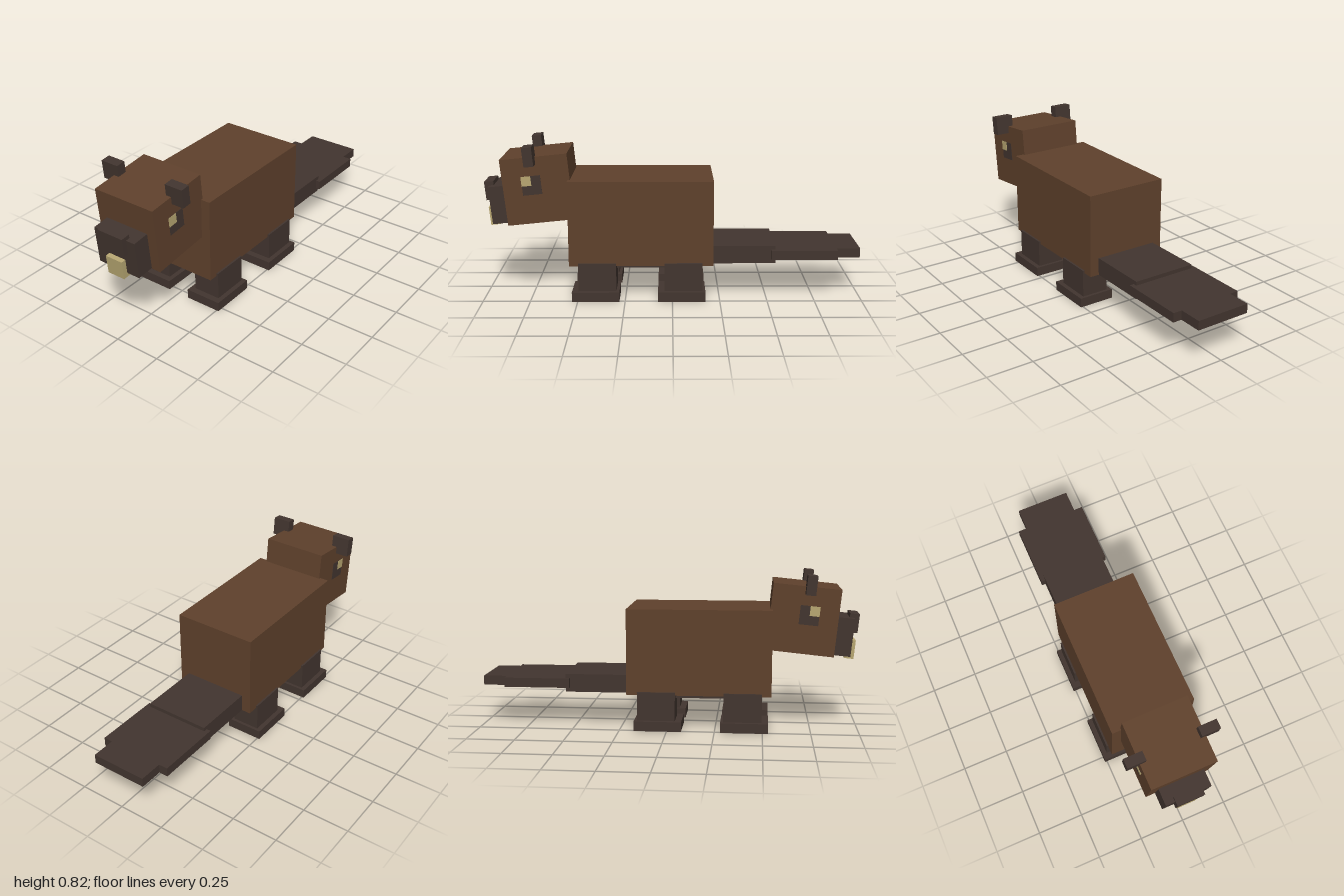
import * as THREE from 'three';

const material = (name, color) => {
  const m = new THREE.MeshStandardMaterial({ color });
  m.name = name;
  return m;
};

export function createModel() {
  const brown = material('brown fur', 0x5f412c);
  const dark = material('dark brown', 0x42352f);
  const cream = material('cream', 0xb8a772);

  const model = new THREE.Group();
  model.name = 'beaver';

  // Box given by its extents along each axis
  const box = (parent, name, mat, [x0, x1], [y0, y1], [z0, z1]) => {
    const mesh = new THREE.Mesh(new THREE.BoxGeometry(x1 - x0, y1 - y0, z1 - z0), mat);
    mesh.position.set((x0 + x1) / 2, (y0 + y1) / 2, (z0 + z1) / 2);
    mesh.name = name;
    parent.add(mesh);
    return mesh;
  };
  // Extents mirrored to the given side
  const side = (s, a, b) => (s > 0 ? [a, b] : [-b, -a]);

  // Body and belly
  box(model, 'body', brown, [-0.227, 0.227], [0.186, 0.639], [-0.215, 0.545]);
  box(model, 'belly', dark, [-0.177, 0.177], [0.164, 0.2], [-0.11, 0.445]);

  // Flat tail in three steps
  box(model, 'tailBase', dark, [-0.176, 0.176], [0.186, 0.282], [-0.547, -0.215]);
  box(model, 'tailPaddle', dark, [-0.2, 0.2], [0.211, 0.261], [-0.875, -0.525]);
  box(model, 'tailTip', dark, [-0.151, 0.151], [0.211, 0.261], [-1, -0.875]);

  // Legs with wider feet
  for (const s of [1, -1]) {
    for (const [label, z] of [['front', 0.396], ['back', -0.058]]) {
      const leg = new THREE.Group();
      leg.name = label + (s > 0 ? 'LeftLeg' : 'RightLeg');
      box(leg, 'shin', dark, side(s, 0.087, 0.237), [0.05, 0.202], [z - 0.1, z + 0.1]);
      box(leg, 'foot', dark, side(s, 0.062, 0.262), [0, 0.051], [z - 0.116, z + 0.134]);
      leg.children[1].position.z = z + 0.009;
      model.add(leg);
    }
  }

  // Head, tipped slightly forward; its parts are measured from its centre
  const head = new THREE.Group();
  head.name = 'head';
  head.position.set(0, 0.586, 0.705);
  head.rotation.x = 0.1;
  model.add(head);
  box(head, 'skull', brown, [-0.177, 0.177], [-0.176, 0.176], [-0.176, 0.176]);
  box(head, 'snout', dark, [-0.125, 0.125], [-0.172, 0.029], [0.166, 0.266]);
  box(head, 'nose', dark, [-0.075, 0.075], [-0.05, 0.05], [0.242, 0.292]);
  box(head, 'teeth', cream, [-0.05, 0.05], [-0.193, -0.093], [0.242, 0.292]);
  for (const s of [1, -1]) {
    const prefix = s > 0 ? 'left' : 'right';
    box(head, prefix + 'Ear', dark, side(s, 0.147, 0.247), [0.137, 0.237], [-0.009, 0.042]);
    box(head, prefix + 'Eye', dark, side(s, 0.174, 0.179), [-0.023, 0.077], [-0.025, 0.076]);
    box(head, prefix + 'EyeGlint', cream, side(s, 0.176, 0.181), [0.026, 0.077], [0.026, 0.077]);
  }

  return model;
}
